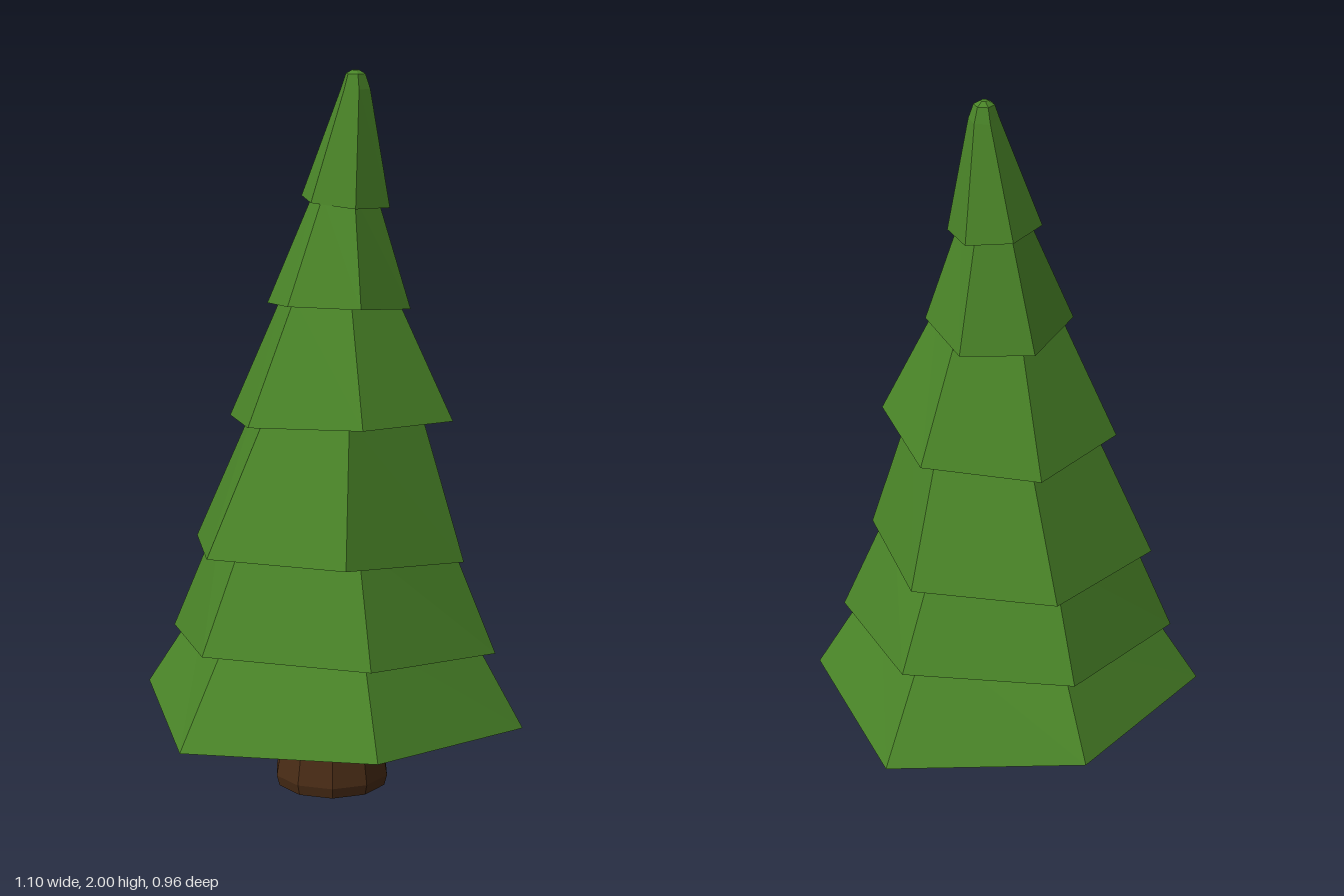
import * as THREE from 'three';

const leafMat = new THREE.MeshStandardMaterial({ color: 0x4a8528, flatShading: true });
const barkMat = new THREE.MeshStandardMaterial({ color: 0x4a2c16, flatShading: true });
const SIDES = 6;

// Skins a stack of rings (ordered from +x towards +z), closed at both ends by a centre point.
function loft(rings) {
  const pos = [], idx = [];
  const centre = (ring) => [0, 1, 2].map((k) => ring.reduce((s, p) => s + p[k], 0) / SIDES);
  const last = rings[rings.length - 1];
  rings.forEach((ring) => ring.forEach((p) => pos.push(...p)));
  const bottom = rings.length * SIDES, top = bottom + 1, topStart = bottom - SIDES;
  pos.push(...centre(rings[0]), ...centre(last));
  for (let i = 0; i < SIDES; i++) {
    const j = (i + 1) % SIDES;
    for (let r = 0; r < topStart; r += SIDES) {
      const a = r + i, b = r + j;
      idx.push(a, a + SIDES, b + SIDES, a, b + SIDES, b);
    }
    idx.push(bottom, i, j, top, topStart + j, topStart + i);
  }
  const indexed = new THREE.BufferGeometry();
  indexed.setAttribute('position', new THREE.Float32BufferAttribute(pos, 3));
  indexed.setIndex(idx);
  const flat = indexed.toNonIndexed();
  flat.computeVertexNormals();
  return flat;
}

// Six-cornered ring; height(dx, dz) gives each corner's y from its offset to the centre.
function hexRing(rx, rz, cx, cz, yaw, height) {
  return Array.from({ length: SIDES }, (_, i) => {
    const a = yaw + (i * Math.PI * 2) / SIDES;
    const dx = rx * Math.cos(a), dz = rz * Math.sin(a);
    return [cx + dx, height(dx, dz), cz + dz];
  });
}

// Rim radii, centre, height, yaw, tilt, warp and sag of the corners; then the top's scale, height and shift.
const tiers = [
  { rx: 0.55, rz: 0.555, y: 0.235, tiltX: -0.03, warp: 0.17, top: 0.66, topY: 0.54 },
  { rx: 0.47, rz: 0.473, y: 0.487, sag: 0.28, top: 0.68, topY: 0.78 },
  { rx: 0.4, rz: 0.43, x: -0.012, y: 0.73, yaw: 0.08, tiltZ: 0.03, sag: 0.28, top: 0.6, topY: 1.1, shiftX: 0.03 },
  { rx: 0.325, rz: 0.31, x: 0.02, z: -0.01, y: 1.055, yaw: 0.05, tiltX: 0.04, tiltZ: 0.08, top: 0.5, topY: 1.4 },
  { rx: 0.198, rz: 0.215, x: 0.018, z: -0.005, y: 1.367, yaw: -0.1, tiltZ: 0.12, top: 0.44, topY: 1.67, shiftX: 0.01, shiftZ: -0.025 },
  { rx: 0.125, rz: 0.13, x: 0.025, z: -0.045, y: 1.647, tiltX: -0.1, top: 0.33, topY: 1.95, shiftX: 0.025, shiftZ: -0.01 },
];

function makeTier(spec, isTip) {
  const { rx, rz, x = 0, z = 0, y, yaw = 0, tiltX = 0, tiltZ = 0, warp = 0, sag = 0 } = spec;
  const { top, topY, shiftX = 0, shiftZ = 0 } = spec;
  const upperRing = (scale, h) => hexRing(rx * scale, rz * scale, x + shiftX, z + shiftZ, yaw, () => h);
  const rimHeight = (dx, dz) => y + tiltX * dx + tiltZ * dz + warp * dx * dz - sag * dx * dx;
  const rings = [
    // Hollow underside sloping up towards the trunk
    hexRing(rx * 0.25, rz * 0.25, x, z, yaw, () => y + 0.27 * rx),
    hexRing(rx, rz, x, z, yaw, rimHeight),
    upperRing(top, topY),
  ];
  // The tip is rounded off with two more rings
  if (isTip) rings.push(upperRing(0.22, 1.99), upperRing(0.08, 2));
  return new THREE.Mesh(loft(rings), leafMat);
}

export function createModel() {
  const tree = new THREE.Group();
  tree.name = 'pineTree';

  // Trunk: ten-sided, flared foot with a bevel and a hollowed base
  const profile = [[0, 0.03], [0.125, 0], [0.155, 0.01], [0.163, 0.04], [0.129, 0.24], [0.13, 0.4], [0, 0.4]];
  const bark = new THREE.LatheGeometry(profile.map(([r, h]) => new THREE.Vector2(r, h)), 10, Math.PI / 2);
  const trunk = new THREE.Mesh(bark, barkMat);
  trunk.name = 'trunk';
  tree.add(trunk);

  // Foliage skirts, from the ground up
  const foliage = new THREE.Group();
  foliage.name = 'foliage';
  tiers.forEach((spec, i) => {
    const isTip = i === tiers.length - 1;
    const tier = makeTier(spec, isTip);
    tier.name = isTip ? 'treeTip' : `foliageTier${i + 1}`;
    foliage.add(tier);
  });
  tree.add(foliage);
  return tree;
}
